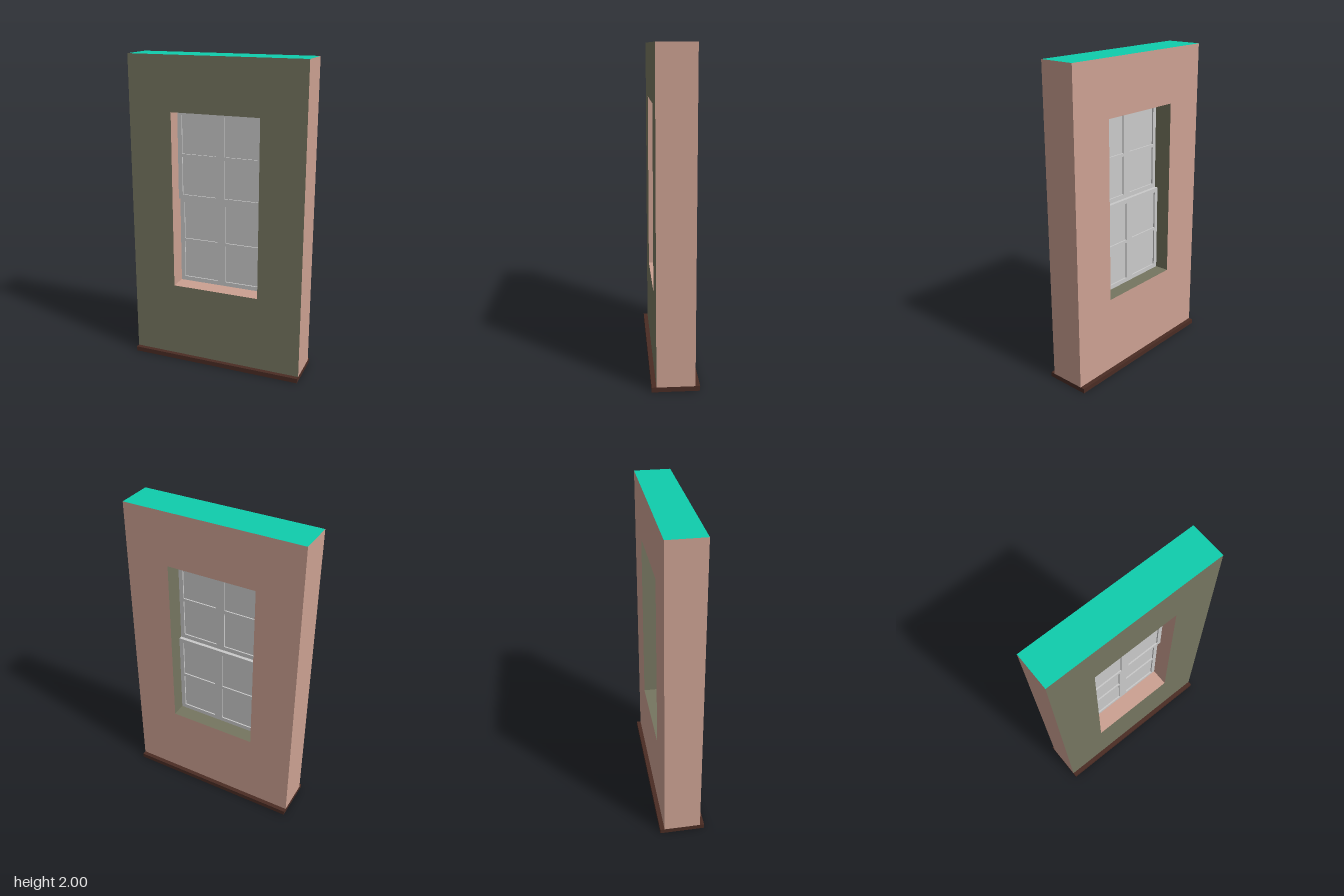
import * as THREE from 'three';

const mat = (name, color) => Object.assign(new THREE.MeshStandardMaterial({ color }), { name });

// wall and opening sizes
const W = 0.57, H = 2, D = 0.115, BASE = 0.03, BASE_D = 0.143;
const OX = 0.287, O0 = 0.52, O1 = 1.658, MEET = 1.09;

// adds a rectangle to a shape or a hole path
function rect(path, x0, y0, x1, y1) {
  path.moveTo(x0, y0);
  path.lineTo(x1, y0);
  path.lineTo(x1, y1);
  path.lineTo(x0, y1);
  path.closePath();
  return path;
}

export function createModel() {
  const olive = mat('olive paint', 0x767660);
  const pink = mat('pink plaster', 0xcca192);
  const teal = mat('teal wall top', 0x0fcdad);
  const brown = mat('dark brown base', 0x4a2c24);
  const grey = mat('light grey sash', 0xcacaca);

  const model = new THREE.Group();
  model.name = 'wallWithWindow';

  const add = (parent, name, geometry, material, x = 0, y = 0, z = 0) => {
    const mesh = new THREE.Mesh(geometry, material);
    mesh.name = name;
    mesh.position.set(x, y, z);
    parent.add(mesh);
    return mesh;
  };

  // wall faces with the window opening
  const wall = new THREE.Group();
  wall.name = 'wall';
  model.add(wall);
  const face = rect(new THREE.Shape(), -W, BASE, W, H);
  face.holes.push(rect(new THREE.Path(), -OX, O0, OX, O1));
  add(wall, 'frontFace', new THREE.ShapeGeometry(face), olive, 0, 0, D);
  add(wall, 'backFace', new THREE.ShapeGeometry(face).rotateY(Math.PI), pink, 0, 0, -D);

  // wall ends and top
  for (const s of [-1, 1]) {
    const end = new THREE.PlaneGeometry(2 * D, H - BASE).rotateY(s * Math.PI / 2);
    add(wall, s > 0 ? 'leftEnd' : 'rightEnd', end, pink, s * W, (H + BASE) / 2);
  }
  add(wall, 'wallTop', new THREE.PlaneGeometry(2 * W, 2 * D).rotateX(-Math.PI / 2), teal, 0, H);

  // opening reveals: pink in the front half, olive in the back half
  for (const [side, material, z] of [['front', pink, D / 2], ['back', olive, -D / 2]]) {
    for (const s of [-1, 1]) {
      const jamb = new THREE.PlaneGeometry(D, O1 - O0).rotateY(-s * Math.PI / 2);
      add(wall, side + (s > 0 ? 'LeftJamb' : 'RightJamb'), jamb, material, s * OX, (O0 + O1) / 2, z);
      const ledge = new THREE.PlaneGeometry(2 * OX, D).rotateX(s * Math.PI / 2);
      add(wall, side + (s > 0 ? 'Head' : 'Sill'), ledge, material, 0, s > 0 ? O1 : O0, z);
    }
  }

  // base slab projecting at front and back
  add(model, 'base', new THREE.BoxGeometry(2 * W, BASE, 2 * BASE_D), brown, 0, BASE / 2);

  // sash with four recessed panes
  const T = 0.022, RAIL = 0.028, BAR = 0.01;
  function sash(name, y0, y1, z) {
    const group = new THREE.Group();
    group.name = name;
    group.position.z = z;
    const frame = rect(new THREE.Shape(), -OX, y0, OX, y1);
    const mid = (y0 + y1) / 2;
    for (const [a, b] of [[y0 + RAIL, mid - BAR], [mid + BAR, y1 - RAIL]]) {
      for (const s of [-1, 1]) {
        const x0 = s > 0 ? RAIL : RAIL - OX, x1 = x0 + OX - 2 * RAIL;
        frame.holes.push(rect(new THREE.Path(), x0, a, x1, b));
        add(group, 'pane', new THREE.BoxGeometry(x1 - x0, b - a, 0.004), grey,
          (x0 + x1) / 2, (a + b) / 2, T / 2);
      }
    }
    add(group, 'sashFrame', new THREE.ExtrudeGeometry(frame, { depth: T, bevelEnabled: false }), grey);
    model.add(group);
  }
  // the upper sash slides in front of the lower one
  sash('upperSash', MEET, O1, 0);
  sash('lowerSash', O0, MEET, -T);

  return model;
}
